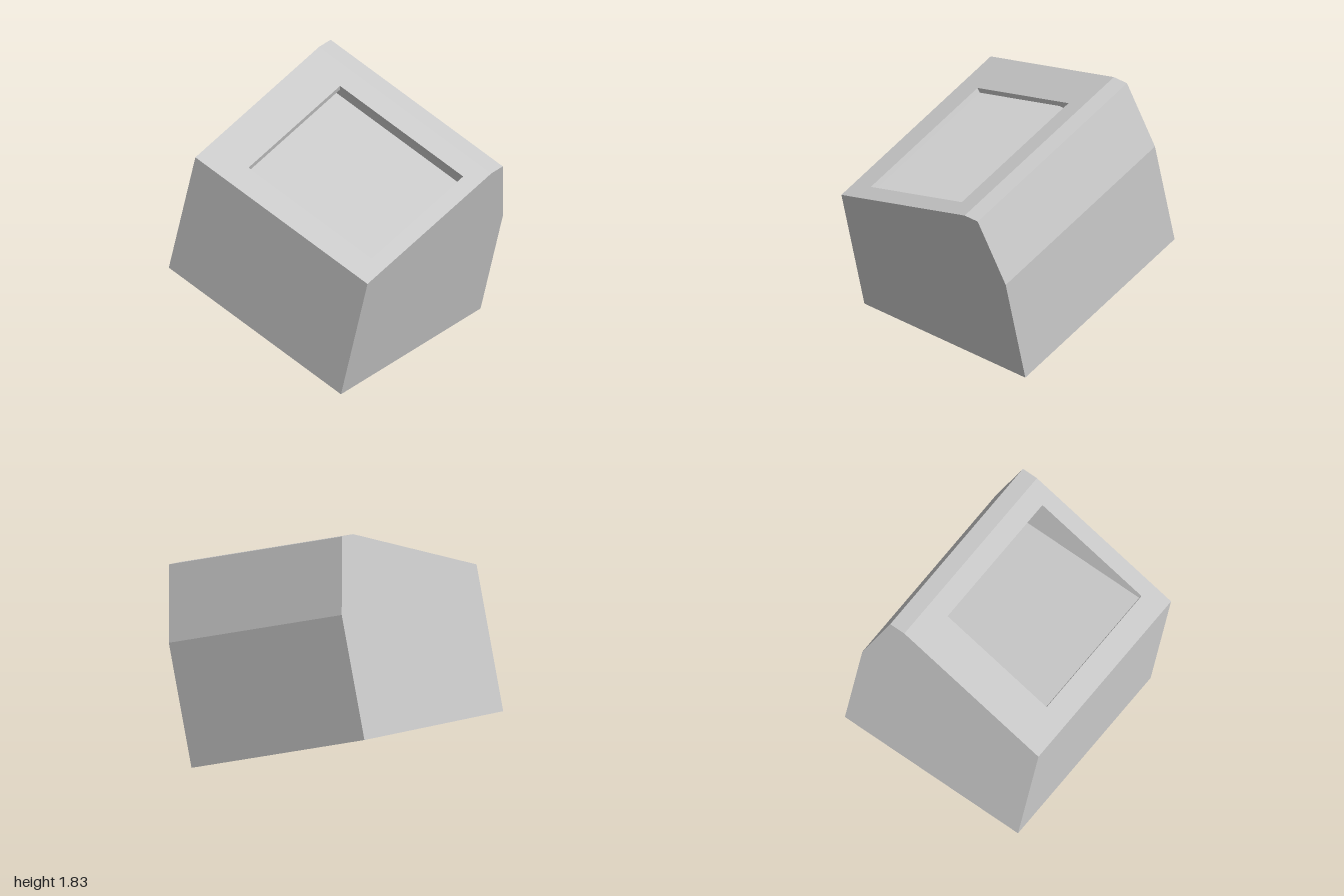
import * as THREE from 'three';

const WIDTH = 1.698;   // length across the block
const WALL = 0.04;     // side wall thickness
const LID = 0.043;     // thickness of the sloping top panel

const material = new THREE.MeshStandardMaterial({ color: 0xcccccc, flatShading: true });

// Extrude a [z, y] profile sideways, from x = start, over the given width
function slab(name, profile, start, width) {
  const shape = new THREE.Shape(profile.map(([z, y]) => new THREE.Vector2(-z, y)));
  const geometry = new THREE.ExtrudeGeometry(shape, { depth: width, bevelEnabled: false });
  geometry.rotateY(Math.PI / 2).translate(start, 0, 0);
  const mesh = new THREE.Mesh(geometry, material);
  mesh.name = name;
  return mesh;
}

export function createModel() {
  const model = new THREE.Group();
  model.name = 'tiltedBlock';

  // Side walls carry the full outline
  const outline = [[0.77, 0], [0.77, 1.08], [-0.49, 1.476], [-0.615, 1.476], [-0.77, 0.92], [-0.77, 0]];
  model.add(slab('rightWall', outline, 0, WALL));
  model.add(slab('leftWall', outline, WIDTH - WALL, WALL));

  // Solid base with front wall, level cavity floor and leaning back wall
  const base = [
    [0.77, 0], [0.77, 1.08], [0.73, 1.0926], [0.73, 0.935], [-0.747, 0.935],
    [-0.61, 1.425], [-0.49, 1.43], [-0.49, 1.476], [-0.615, 1.476], [-0.77, 0.92], [-0.77, 0],
  ];
  model.add(slab('base', base, WALL, WIDTH - 2 * WALL));

  // Sloping top panel with a rectangular opening
  const run = 1.26, rise = 0.396;
  const length = Math.hypot(run, rise);
  const rectangle = (x0, x1, y0, y1) =>
    [[x0, y0], [x1, y0], [x1, y1], [x0, y1]].map(([x, y]) => new THREE.Vector2(x, y));
  const panel = new THREE.Shape(rectangle(WALL, WIDTH - WALL, 0, length));
  panel.holes.push(new THREE.Path(rectangle(0.35, 1.564, 0.189, 1.164).reverse()));
  const lidGeometry = new THREE.ExtrudeGeometry(panel, { depth: LID, bevelEnabled: false });
  lidGeometry.translate(0, 0, -LID);
  const lid = new THREE.Mesh(lidGeometry, material);
  lid.name = 'topPanel';
  lid.rotation.x = -Math.atan2(run, rise);
  lid.position.set(0, 1.08, 0.77);
  model.add(lid);

  // Tip the whole block onto its lower left edge
  model.rotation.z = -Math.atan2(0.4, 1.65);
  model.position.set(-1, 0.4, 0);

  const root = new THREE.Group();
  root.name = 'model';
  root.add(model);
  return root;
}
